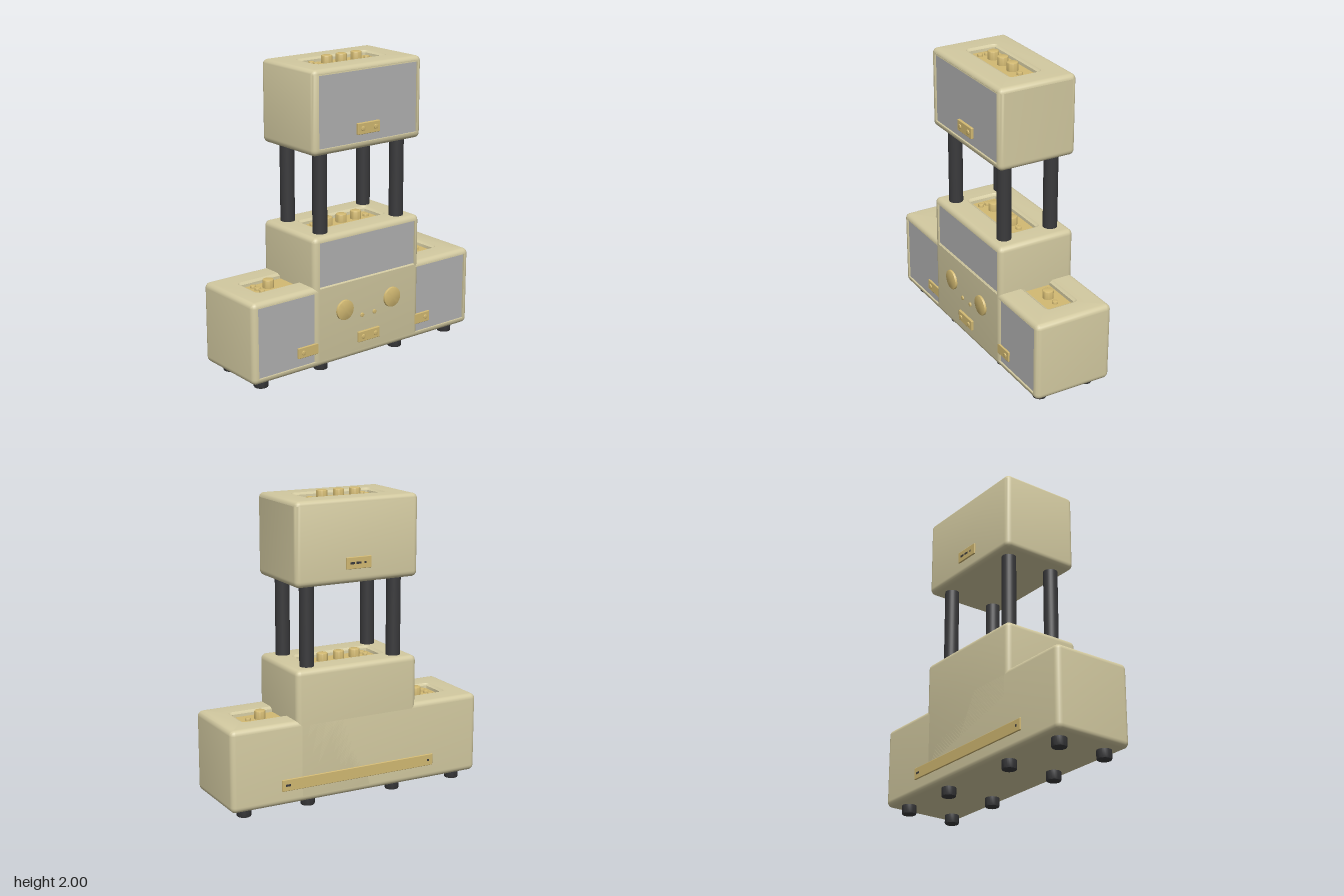
import * as THREE from 'three';
import { toCreasedNormals } from 'three/addons/utils/BufferGeometryUtils.js';
import { RoundedBoxGeometry } from 'three/addons/geometries/RoundedBoxGeometry.js';

const paint = (color) => new THREE.MeshStandardMaterial({ color });
const CREAM = paint(0xd2c9a0), GOLD = paint(0xd2b972), GRILLE = paint(0xb2b2b2), BLACK = paint(0x3a3a3c);
const R = 0.035, STEPS = 5, FRONT = 0.265, BACK = -0.278, RECESS = 0.013;
const MID_X = 0.006, KNOB_Z = -0.01;

function add(parent, name, geometry, material, x = 0, y = 0, z = 0) {
  const mesh = new THREE.Mesh(geometry, material);
  mesh.name = name;
  mesh.position.set(x, y, z);
  parent.add(mesh);
  return mesh;
}

// Horizontal rounded rectangle; the front edge carries two extra points at fractions t
function ring(x0, x1, z0, z1, r, y, t) {
  const points = [];
  const corner = (cx, cz, start) => {
    for (let i = 0; i <= STEPS; i++) {
      const a = start - (i / STEPS) * Math.PI / 2;
      points.push([cx + r * Math.cos(a), y, cz + r * Math.sin(a)]);
    }
  };
  corner(x0 + r, z1 - r, Math.PI);
  for (const f of t) points.push([x0 + r + f * (x1 - x0 - 2 * r), y, z1]);
  corner(x1 - r, z1 - r, Math.PI / 2);
  corner(x1 - r, z0 + r, 0);
  corner(x0 + r, z0 + r, -Math.PI / 2);
  return points;
}

// Rounded case with a front window and a tray sunk into the top
function caseGeometry({ x0, x1, y0, y1, win, tray }) {
  const t = [win[0], win[1]].map((x) => (x - x0 - R) / (x1 - x0 - 2 * R));
  const inset = (d, y) => ring(x0 + d, x1 - d, BACK + d, FRONT - d, Math.max(R - d, 0.0005), y, t);
  const cx = (x0 + x1) / 2;
  const rings = [ring(cx, cx, 0, 0, 0, y0, t)];
  for (let i = 0; i <= STEPS; i++) {
    const a = (i / STEPS) * Math.PI / 2;
    rings.push(inset(R * (1 - Math.sin(a)), y0 + R * (1 - Math.cos(a))));
  }
  const windowRow = rings.length;
  rings.push(inset(0, win[2]), inset(0, win[3]));
  for (let i = 0; i <= STEPS; i++) {
    const a = (i / STEPS) * Math.PI / 2;
    rings.push(inset(R * (1 - Math.cos(a)), y1 - R * (1 - Math.sin(a))));
  }
  for (const [d, drop] of [[0, 0], [0.008, 0.008], [0.022, 0.012], [0.025, 0.035]]) {
    rings.push(ring(tray[0] + d, tray[1] - d, -0.125 + d, 0.108 - d, 0.035 - d, y1 - drop, t));
  }
  rings.push(ring(cx, cx, 0, 0, 0, y1 - 0.035, t));

  const n = rings[0].length, index = [];
  for (let i = 0; i < rings.length - 1; i++) {
    for (let j = 0; j < n; j++) {
      if (i === windowRow && j === STEPS + 1) continue;
      const a = i * n + j, b = i * n + (j + 1) % n;
      index.push(a, b, b + n, a, b + n, a + n);
    }
  }
  const g = new THREE.BufferGeometry();
  g.setAttribute('position', new THREE.Float32BufferAttribute(rings.flat(2), 3));
  g.setIndex(index);
  return toCreasedNormals(g, 0.6);
}

function rectangle(x0, x1, y0, y1, Type = THREE.Shape) {
  return new Type([[x0, y0], [x1, y0], [x1, y1], [x0, y1]].map((p) => new THREE.Vector2(...p)));
}

function speaker(name, spec) {
  const group = new THREE.Group();
  group.name = name;
  const { y1, win: [a, b, c, d], tray } = spec;
  add(group, 'case', caseGeometry(spec), CREAM);
  // Recessed grille and the lip around it
  add(group, 'grille', new THREE.PlaneGeometry(b - a, d - c), GRILLE, (a + b) / 2, (c + d) / 2, FRONT - RECESS);
  const lip = rectangle(a - 0.004, b + 0.004, c - 0.004, d + 0.004);
  lip.holes.push(rectangle(a, b, c, d, THREE.Path));
  add(group, 'grilleLip', new THREE.ExtrudeGeometry(lip, { depth: RECESS - 0.001, bevelEnabled: false }), CREAM, 0, 0, FRONT - RECESS);
  // Control plate, knobs and buttons in the tray
  add(group, 'controlPlate', new RoundedBoxGeometry(tray[1] - tray[0] - 0.05, 0.008, 0.183, 2, 0.003), GOLD,
    (tray[0] + tray[1]) / 2, y1 - 0.033, -0.0085);
  const floor = y1 - 0.03;
  for (const x of spec.knobs) knob(group, 'knob', 0.036, 0.056, x, floor, KNOB_Z);
  for (const z of [-0.06, KNOB_Z, 0.039]) knob(group, 'button', 0.019, 0.018, spec.buttons[0], floor, z);
  knob(group, 'button', 0.019, 0.018, spec.buttons[1], floor, KNOB_Z);
  return group;
}

// Turned knob with a softened top edge, standing on y
function knob(parent, name, r, h, x, y, z, material = GOLD) {
  const e = Math.min(r, h) * 0.2;
  const profile = [[r, 0], [r, h - e], [r - e * 0.3, h - e * 0.3], [r - e, h], [0, h]].map((p) => new THREE.Vector2(...p));
  return add(parent, name, toCreasedNormals(new THREE.LatheGeometry(profile, 28), 0.6), material, x, y, z);
}

// Knob facing the front
function frontKnob(parent, name, r, h, x, y, z) {
  knob(parent, name, r, h, x, y, z).rotation.x = Math.PI / 2;
}

function plate(parent, name, x0, x1, y0, y1, z0, z1) {
  add(parent, name, new RoundedBoxGeometry(x1 - x0, y1 - y0, z1 - z0, 2, 0.004), GOLD,
    (x0 + x1) / 2, (y0 + y1) / 2, (z0 + z1) / 2);
}

export function createModel() {
  const model = new THREE.Group();
  model.name = 'speakerTower';

  const small = { x0: -0.429, x1: 0.441, tray: [-0.28, 0.292], knobs: [-0.113, 0.003, 0.123], buttons: [-0.196, 0.208] };
  const base = speaker('baseSpeaker', {
    x0: -0.9, x1: 0.895, y0: 0.06, y1: 0.597, win: [-0.86, 0.855, 0.1, 0.565],
    tray: [-0.755, 0.75], knobs: [-0.587, 0.573], buttons: [-0.67, 0.657],
  });
  const middle = speaker('middleSpeaker', { ...small, y0: 0.064, y1: 0.92, win: [-0.386, 0.404, 0.582, 0.885] });
  const top = speaker('topSpeaker', { ...small, y0: 1.44, y1: 1.974, win: [-0.386, 0.404, 1.482, 1.945] });
  model.add(base, middle, top);

  // Front plates with paired studs
  const grilleZ = FRONT - RECESS;
  plate(top, 'frontPlate', -0.083, 0.095, 1.532, 1.605, grilleZ - 0.005, 0.269);
  plate(base, 'sidePlate', -0.555, 0.545, 0.155, 0.226, grilleZ - 0.005, 0.264);
  plate(middle, 'frontPlate', -0.083, 0.095, 0.155, 0.226, 0.255, 0.281);
  for (const x of [-0.045, 0.058]) {
    frontKnob(top, 'stud', 0.015, 0.008, x, 1.569, 0.268);
    frontKnob(middle, 'stud', 0.015, 0.008, x, 0.19, 0.28);
    frontKnob(middle, 'smallButton', 0.014, 0.01, x, 0.335, FRONT - 0.001);
  }
  for (const x of [-0.517, 0.508]) frontKnob(base, 'stud', 0.015, 0.008, x, 0.19, 0.263);
  for (const x of [-0.19, 0.203]) frontKnob(middle, 'dial', 0.067, 0.016, x, 0.404, FRONT - 0.001);

  // Rear connection plates with sockets
  plate(top, 'rearPlate', -0.083, 0.095, 1.532, 1.608, BACK - 0.009, BACK + 0.01);
  plate(base, 'rearStrip', -0.557, 0.552, 0.155, 0.232, BACK - 0.009, BACK + 0.01);
  for (const [x, w] of [[0.053, 0.03], [0.008, 0.036], [-0.037, 0.014]]) {
    add(top, 'socket', new THREE.BoxGeometry(w, 0.014, 0.004), BLACK, x, 1.57, BACK - 0.008);
  }
  for (const [x, w] of [[0.512, 0.036], [-0.52, 0.014]]) {
    add(base, 'socket', new THREE.BoxGeometry(w, 0.014, 0.004), BLACK, x, 0.193, BACK - 0.008);
  }

  // Columns carrying the top speaker, and feet under the base
  for (const z of [0.165, -0.175]) {
    for (const side of [-1, 1]) {
      add(model, 'column', new THREE.CylinderGeometry(0.047, 0.047, 0.56, 28), BLACK, MID_X + side * 0.314, 1.18, z);
    }
    for (const x of [-0.778, -0.308, 0.32, 0.77]) {
      knob(model, 'foot', 0.047, 0.07, x, 0.07, z, BLACK).rotation.x = Math.PI;
    }
  }
  return model;
}
